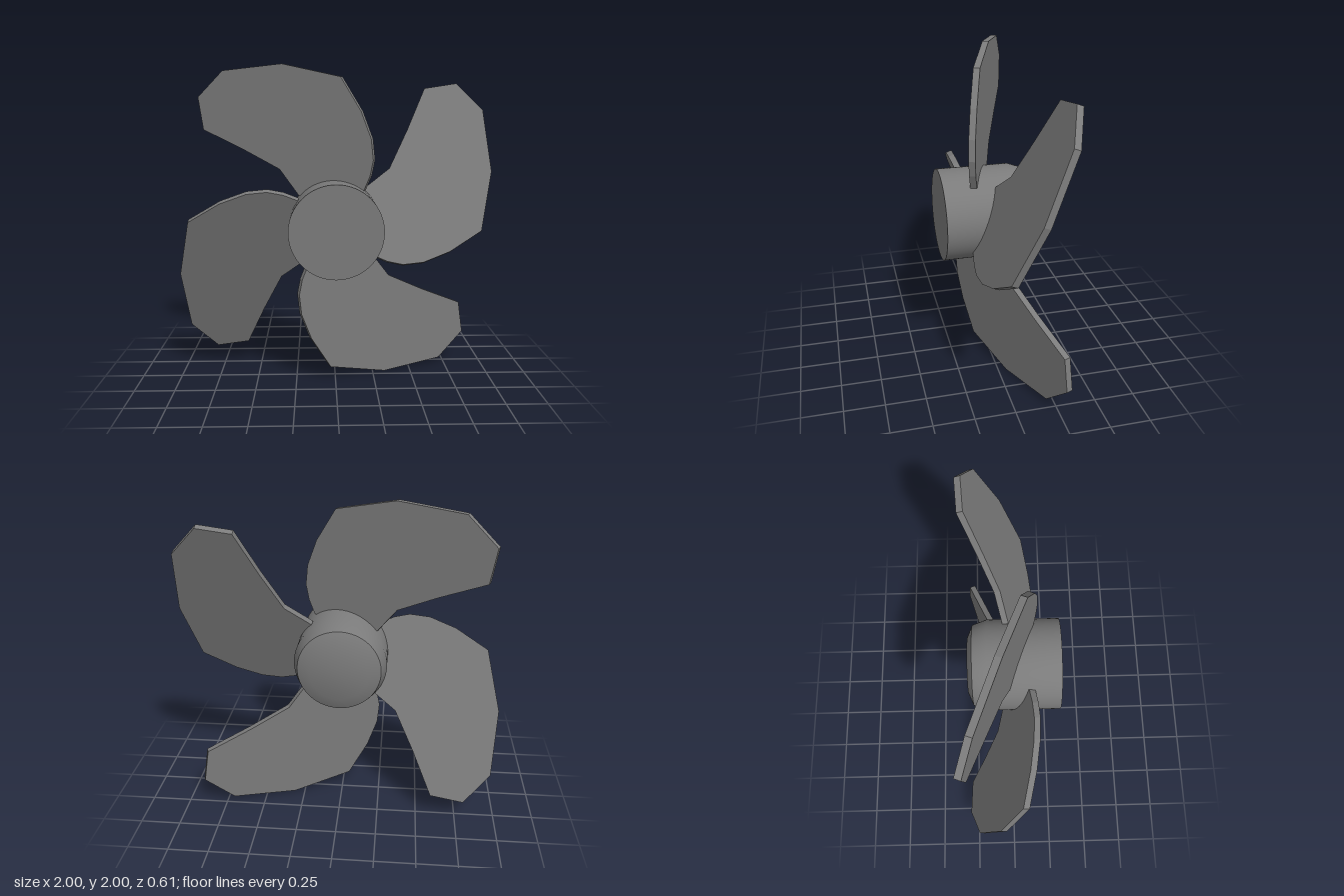
import * as THREE from 'three';
import { toCreasedNormals } from 'three/addons/utils/BufferGeometryUtils.js';

const PITCH = THREE.MathUtils.degToRad(21);
const THICKNESS = 0.04;

// Blade outline as seen from the front, relative to the hub axis
const OUTLINE = [
  [0.229, -0.17], [0.32, -0.207], [0.417, -0.226], [0.545, -0.213], [0.71, -0.152],
  [0.915, -0.03], [0.998, 0.329], [0.963, 0.714], [0.797, 0.885], [0.588, 0.853],
  [0.467, 0.588], [0.346, 0.35], [0.184, 0.229], [0.17, 0.16],
];

function bladeGeometry() {
  // Undo the foreshortening of the pitch so the flat plate projects to the outline
  const points = OUTLINE.map(([x, y]) => new THREE.Vector2(x, (y - 0.007) / Math.cos(PITCH)));
  const geometry = new THREE.ExtrudeGeometry(new THREE.Shape(points), { depth: THICKNESS, bevelEnabled: false });
  geometry.translate(0, 0, -THICKNESS / 2);
  geometry.rotateX(-PITCH);
  geometry.translate(0, 0, 0.054);
  return geometry;
}

function hubGeometry() {
  // Profile runs from the rounded back to the flat front
  const profile = [[0, -0.272], [0.18, -0.272], [0.255, -0.24], [0.287, -0.15], [0.287, 0.304], [0, 0.304]]
    .map(([r, z]) => new THREE.Vector2(r, z));
  const geometry = new THREE.LatheGeometry(profile, 64);
  geometry.rotateX(Math.PI / 2);
  return toCreasedNormals(geometry, THREE.MathUtils.degToRad(40));
}

export function createModel() {
  const model = new THREE.Group();
  model.name = 'propeller';
  const material = new THREE.MeshStandardMaterial({ color: 0x7b7b7b });

  const rotor = new THREE.Group();
  rotor.name = 'rotor';
  rotor.position.y = 1;
  model.add(rotor);

  const hub = new THREE.Mesh(hubGeometry(), material);
  hub.name = 'hub';
  rotor.add(hub);

  // Four identical pitched blades
  const geometry = bladeGeometry();
  for (let i = 0; i < 4; i++) {
    const blade = new THREE.Mesh(geometry, material);
    blade.name = `blade${i + 1}`;
    blade.rotation.z = (i * Math.PI) / 2;
    rotor.add(blade);
  }
  return model;
}
